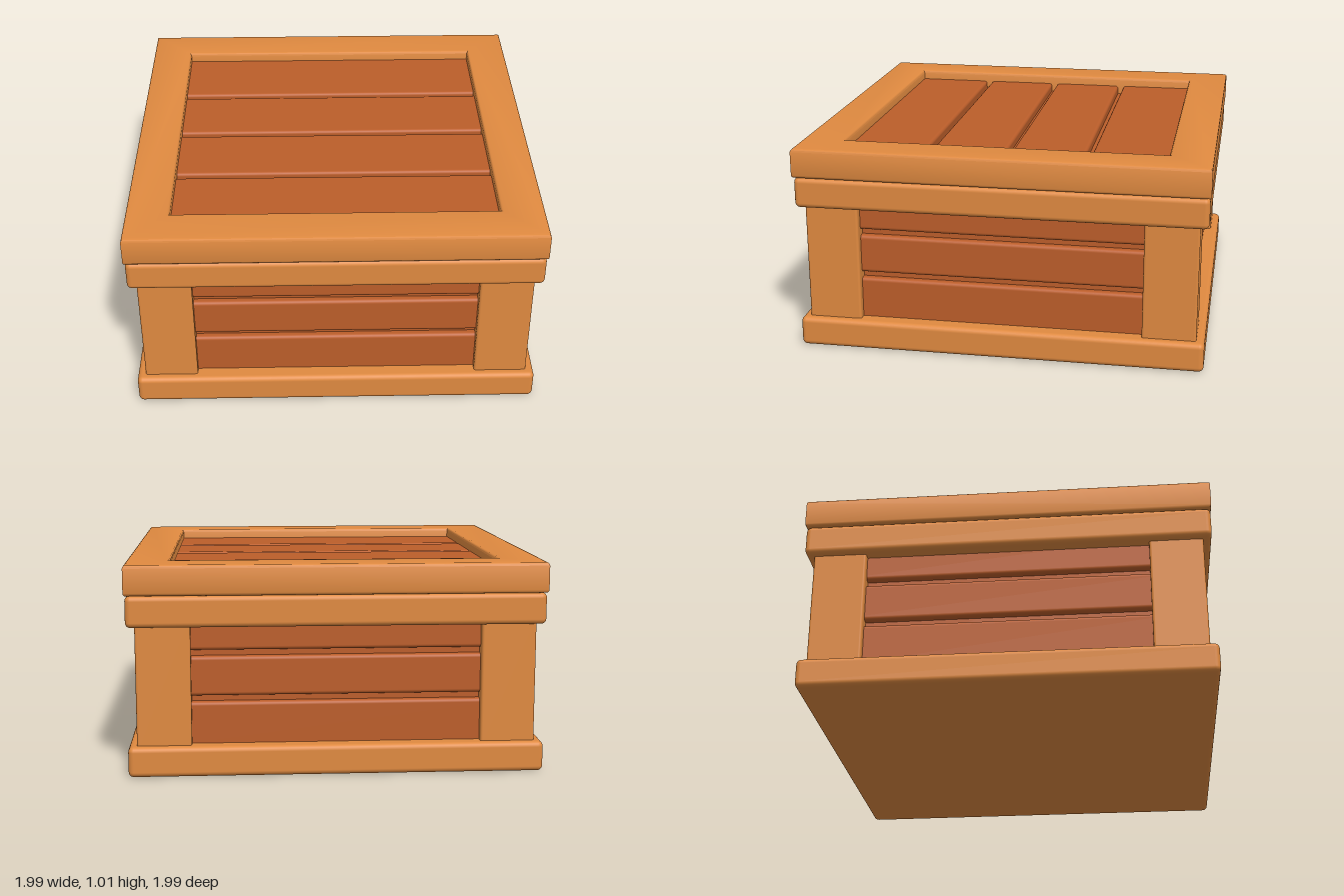
import * as THREE from 'three';
import { RoundedBoxGeometry } from 'three/addons/geometries/RoundedBoxGeometry.js';
import { toCreasedNormals } from 'three/addons/utils/BufferGeometryUtils.js';

const frameMat = new THREE.MeshStandardMaterial({ color: 0xe08a40 });
const plankMat = new THREE.MeshStandardMaterial({ color: 0xbc5e2a });

function block(parent, name, size, pos, mat, radius = 0) {
  const geo = radius
    ? new RoundedBoxGeometry(...size, 3, radius)
    : new THREE.BoxGeometry(...size);
  const mesh = new THREE.Mesh(geo, mat);
  mesh.name = name;
  mesh.position.set(...pos);
  parent.add(mesh);
  return mesh;
}

function square(Type, h) {
  const s = new Type();
  s.moveTo(-h, -h);
  s.lineTo(h, -h);
  s.lineTo(h, h);
  s.lineTo(-h, h);
  s.closePath();
  return s;
}

// Square lid border with softly bevelled edges and an open middle
function lidFrame(outer, inner, y0, y1, b) {
  const shape = square(THREE.Shape, outer - b);
  shape.holes.push(square(THREE.Path, inner + b));
  const geo = new THREE.ExtrudeGeometry(shape, {
    depth: y1 - y0 - 2 * b, bevelSize: b, bevelThickness: b, bevelSegments: 3,
  });
  geo.rotateX(-Math.PI / 2).translate(0, y0 + b, 0);
  const mesh = new THREE.Mesh(toCreasedNormals(geo, 0.7), frameMat);
  mesh.name = 'lidFrame';
  return mesh;
}

export function createModel() {
  const crate = new THREE.Group();
  crate.name = 'crate';

  // Base slab, rim slab and the core that closes the gaps between planks
  block(crate, 'base', [1.98, 0.145, 1.98], [0, 0.0775, 0], frameMat, 0.025);
  block(crate, 'rim', [1.98, 0.15, 1.98], [0, 0.795, 0], frameMat, 0.025);
  block(crate, 'core', [1.75, 0.62, 1.75], [0, 0.43, 0], plankMat);

  // Corner posts
  for (const x of [-1, 1]) for (const z of [-1, 1]) {
    block(crate, 'cornerPost', [0.26, 0.62, 0.26], [x * 0.82, 0.435, z * 0.82], frameMat, 0.012);
  }

  // Three horizontal planks on each of the four sides
  for (let i = 0; i < 4; i++) {
    const wall = new THREE.Group();
    wall.name = 'wall';
    wall.rotation.y = i * Math.PI / 2;
    for (const [y0, y1] of [[0.13, 0.35], [0.38, 0.57], [0.6, 0.79]]) {
      block(wall, 'wallPlank', [1.5, y1 - y0, 0.08], [0, (y0 + y1) / 2, 0.87], plankMat, 0.018);
    }
    crate.add(wall);
  }

  // Lid: border, recessed planks and the floor of the grooves
  const lid = new THREE.Group();
  lid.name = 'lid';
  lid.add(lidFrame(0.995, 0.785, 0.87, 1.015, 0.015));
  block(lid, 'lidFloor', [1.6, 0.06, 1.6], [0, 0.89, 0], plankMat);
  for (let i = 0; i < 4; i++) {
    block(lid, 'lidPlank', [1.6, 0.07, 0.36], [0, 0.93, (i - 1.5) * 0.39], plankMat, 0.016);
  }
  // Narrow strips fill the outer edge beside the end planks
  for (const s of [-1, 1]) {
    block(lid, 'lidEdgeStrip', [1.6, 0.07, 0.08], [0, 0.93, s * 0.76], plankMat);
  }
  crate.add(lid);

  return crate;
}
